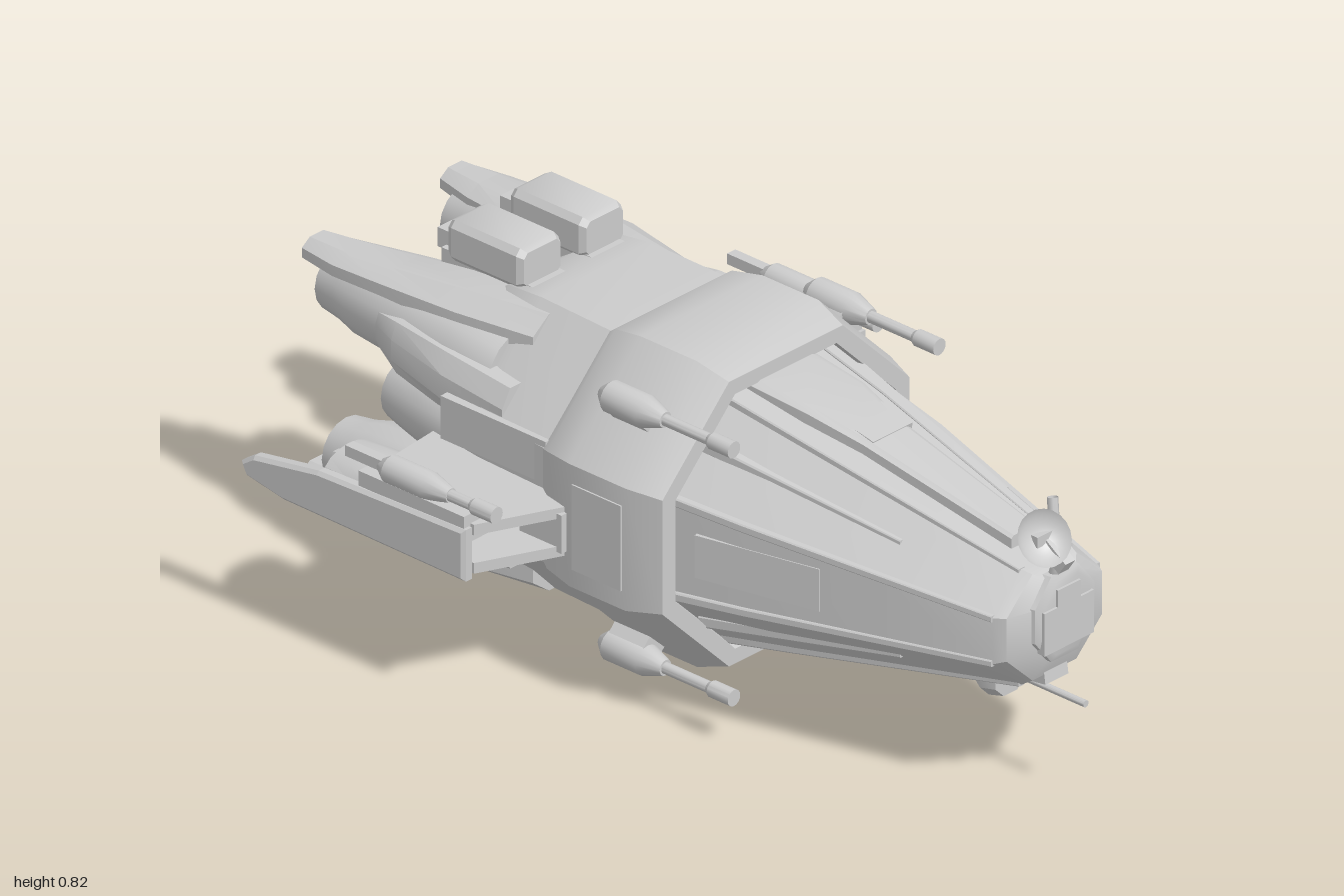
import * as THREE from 'three';
import { toCreasedNormals } from 'three/addons/utils/BufferGeometryUtils.js';

const mat = new THREE.MeshStandardMaterial({ color: 0xcccccc, side: THREE.DoubleSide });
const OCT = [[1, -0.46], [1, 0.46], [0.4, 1], [-0.4, 1], [-1, 0.46], [-1, -0.46], [-0.4, -1], [0.4, -1]];
const ROUND = Array.from({ length: 16 }, (_, i) => [Math.cos(i * Math.PI / 8), Math.sin(i * Math.PI / 8)]);
const RECT = [[1, -0.8], [1, 0.8], [0.7, 1], [-0.7, 1], [-1, 0.8], [-1, -0.8], [-0.7, -1], [0.7, -1]];

// Skin a ring along x; each section is [x, centreY, centreZ, halfY, halfZ]
function loft(sections, ring) {
  const n = ring.length, pos = [], idx = [];
  for (const [x, cy, cz, hy, hz] of sections)
    for (const [y, z] of ring) pos.push(x, cy + y * hy, cz + z * hz);
  for (let j = 0; j < sections.length - 1; j++)
    for (let i = 0; i < n; i++) {
      const a = j * n + i, b = j * n + (i + 1) % n;
      idx.push(a, b, b + n, a, b + n, a + n);
    }
  const e = (sections.length - 1) * n;
  for (let i = 1; i < n - 1; i++) idx.push(0, i + 1, i, e, e + i, e + i + 1);
  const g = new THREE.BufferGeometry();
  g.setAttribute('position', new THREE.Float32BufferAttribute(pos, 3));
  g.setIndex(idx);
  return toCreasedNormals(g, 0.5);
}

// Flat outline extruded by a depth
function plate(points, depth, bevel = 0) {
  const shape = new THREE.Shape(points.map(p => new THREE.Vector2(p[0], p[1])));
  return new THREE.ExtrudeGeometry(shape, {
    depth, bevelEnabled: bevel > 0, bevelSize: bevel, bevelThickness: bevel, bevelSegments: 1 });
}

export function createModel() {
  const ship = new THREE.Group();
  ship.name = 'spaceship';
  const add = (name, geo, x = 0, y = 0, z = 0) => {
    const m = new THREE.Mesh(geo, mat);
    m.name = name;
    m.position.set(x, y, z);
    ship.add(m);
    return m;
  };
  const box = (name, w, h, d, x, y, z) => add(name, new THREE.BoxGeometry(w, h, d), x, y, z);

  // Barrelled gun: rounded housing with a thin tube pointing forward
  const gun = (name, x0, x1, tip, y, z, r) => {
    const l = x1 - x0;
    add(name + 'Housing', loft([[x0, y, z, r * 0.4, r * 0.4], [x0 + l * 0.15, y, z, r, r],
      [x0 + l * 0.7, y, z, r, r], [x1, y, z, r * 0.5, r * 0.5]], ROUND));
    add(name + 'Barrel', loft([[x1 - 0.03, y, z, 0.013, 0.013], [tip - 0.07, y, z, 0.013, 0.013],
      [tip - 0.06, y, z, 0.019, 0.019], [tip, y, z, 0.019, 0.019]], ROUND));
  };

  // Main hull
  add('rearHull', loft([[-0.66, 0.42, 0, 0.18, 0.17], [-0.57, 0.415, 0, 0.28, 0.29], [-0.5, 0.415, 0, 0.325, 0.345],
    [-0.4, 0.415, 0, 0.335, 0.36], [-0.16, 0.41, 0, 0.335, 0.37]], OCT));

  // Collar with a hollow front rim
  add('collar', loft([[-0.22, 0.41, 0, 0.32, 0.36], [-0.18, 0.415, 0, 0.345, 0.385], [-0.1, 0.415, 0, 0.36, 0.402],
    [0.06, 0.415, 0, 0.36, 0.402], [0.14, 0.415, 0, 0.335, 0.375], [0.14, 0.415, 0, 0.3, 0.335],
    [0.1, 0.415, 0, 0.29, 0.325]], OCT));

  // Tapered nose with low corner ribs
  const nose = [[0.09, 0.415, 0, 0.297, 0.337], [0.3, 0.415, 0, 0.257, 0.302], [0.6, 0.41, 0, 0.197, 0.232],
    [0.88, 0.405, 0, 0.141, 0.166]];
  add('nose', loft([...nose.map(([x, y, z, h, w]) => [x, y, z, h - 0.005, w - 0.005]),
    [0.905, 0.41, 0, 0.125, 0.145], [0.93, 0.43, 0, 0.09, 0.085]], OCT));
  OCT.forEach(([y, z]) => add('noseRib', loft(nose.map(([x, cy, , hy, hz]) =>
    [x, cy + y * (hy - 0.01), z * (hz - 0.01), 0.011 - x * 0.004, 0.015 - x * 0.006]), RECT)));
  add('noseSpine', loft([[0.12, 0.69, 0, 0.03, 0.1], [0.28, 0.675, 0, 0.03, 0.09], [0.42, 0.645, 0, 0.025, 0.065],
    [0.82, 0.563, 0, 0.02, 0.04]], RECT));
  box('noseHatch', 0.09, 0.02, 0.12, 0.39, 0.668, -0.01).rotation.z = -0.2;
  add('noseCap', loft([[0.88, 0.43, 0, 0.1, 0.11], [0.935, 0.43, 0, 0.1, 0.09], [0.942, 0.43, 0, 0.085, 0.07]], OCT));
  box('nosePlate', 0.02, 0.1, 0.15, 0.938, 0.41, 0);
  box('nosePlateTop', 0.02, 0.14, 0.07, 0.938, 0.43, 0);

  // Sensor dish on a bent stalk
  const stalk = new THREE.CatmullRomCurve3([[0.91, 0.5, 0.02], [0.93, 0.55, 0.02], [0.915, 0.62, 0.01],
    [0.9, 0.69, 0]].map(p => new THREE.Vector3(...p)));
  add('dishStalk', new THREE.TubeGeometry(stalk, 12, 0.012, 8));
  const bowl = new THREE.SphereGeometry(0.08, 20, 6, 0, Math.PI * 2, 0, 0.9).translate(0, -0.08, 0);
  add('dish', bowl, 0.918, 0.618, 0.062).quaternion.setFromUnitVectors(
    new THREE.Vector3(0, 1, 0), new THREE.Vector3(-0.8, -0.55, -0.24).normalize());
  box('dishArm', 0.02, 0.025, 0.08, 0.918, 0.62, 0.035);
  box('dishTip', 0.07, 0.035, 0.03, 0.945, 0.585, 0.035).rotation.z = -0.6;

  // Chin gun
  add('chinTurret', loft([[0.71, 0.23, 0, 0.035, 0.04], [0.74, 0.22, 0, 0.045, 0.05], [0.78, 0.225, 0, 0.04, 0.045]], OCT));
  add('chinBarrel', loft([[0.76, 0.237, 0, 0.008, 0.008], [0.995, 0.237, 0, 0.008, 0.008]], ROUND));
  box('chinMount', 0.22, 0.05, 0.07, 0.8, 0.275, 0).rotation.z = 0.14;

  // Belly fin
  add('bellyFin', plate([[-0.57, 0.03], [-0.54, 0.003], [-0.42, 0.01], [-0.23, 0.06], [-0.22, 0.1], [-0.52, 0.12]], 0.056), 0, 0, -0.028);

  for (const s of [-1, 1]) {
    // Collar turrets above and below, turned to the sloping faces
    for (const [y, d] of [[0.697, 1], [0.113, -1]]) {
      gun('collarGun', -0.09, 0.09, 0.285, y, s * 0.312, 0.036);
      box('collarGunMount', 0.1, 0.04, 0.06, -0.01, y - d * 0.018, s * 0.298).rotation.x = d * s * 0.75;
    }

    // Side panels on collar, hull and nose
    box('collarPanel', 0.14, 0.2, 0.012, -0.02, 0.415, s * 0.4);
    box('hullSidePanel', 0.3, 0.1, 0.03, -0.35, 0.51, s * 0.352);
    box('noseSidePanel', 0.3, 0.1, 0.012, 0.33, 0.415, s * 0.286).rotation.y = s * 0.225;
    for (const d of [-1, 1])
      add('noseStrip', loft([[0.12, 0.415 + d * 0.208, s * 0.23, 0.014, 0.016],
        [0.62, 0.41 + d * 0.13, s * 0.155, 0.008, 0.01]], RECT));

    // Wing: two skins with an open leading slot
    const outline = [[-0.1, s * 0.36], [-0.2, s * 0.585], [-0.52, s * 0.585], [-0.55, s * 0.3]];
    for (const y of [0.45, 0.36]) add('wingSkin', plate(outline, 0.025).rotateX(Math.PI / 2), 0, y, 0);
    box('wingCore', 0.26, 0.08, 0.24, -0.4, 0.393, s * 0.47);
    box('wingRootSpar', 0.12, 0.09, 0.03, -0.17, 0.393, s * 0.4);
    add('wingTip', plate([[-0.83, 0.375], [-0.8, 0.395], [-0.62, 0.425], [-0.21, 0.437], [-0.21, 0.332],
      [-0.72, 0.337], [-0.82, 0.355]], 0.018, 0.008), 0, 0, s * 0.598 - 0.009);
    box('wingTipRail', 0.3, 0.035, 0.05, -0.36, 0.455, s * 0.58);
    gun('wingGun', -0.47, -0.27, -0.14, 0.492, s * 0.58, 0.032);
    box('wingGunTail', 0.12, 0.025, 0.025, -0.5, 0.497, s * 0.58);

    // Flattened engine pod blended into the wing
    const podZ = s * 0.488;
    add('wingEngine', loft([[-0.57, 0.395, podZ, 0.035, 0.06], [-0.64, 0.395, podZ, 0.038, 0.066],
      [-0.648, 0.395, podZ, 0.047, 0.078], [-0.59, 0.395, podZ, 0.053, 0.082], [-0.52, 0.395, podZ, 0.055, 0.088],
      [-0.3, 0.395, podZ, 0.05, 0.085]], ROUND));

    // Middle engine on the hull tail
    const midZ = s * 0.235;
    add('middleEngine', loft([[-0.6, 0.445, midZ, 0.045, 0.045], [-0.725, 0.445, midZ, 0.056, 0.056],
      [-0.73, 0.445, midZ, 0.068, 0.068], [-0.69, 0.445, midZ, 0.078, 0.078], [-0.62, 0.445, midZ, 0.092, 0.095],
      [-0.52, 0.445, midZ, 0.1, 0.11], [-0.42, 0.445, midZ, 0.1, 0.11]], ROUND));

    // Main engines with hollow nozzles
    for (const [y, d, x0] of [[0.605, 1, -0.95], [0.21, -1, -0.93]]) {
      const z = s * 0.19;
      add('mainEngine', loft([[x0 + 0.1, y, z, 0.045, 0.045], [x0, y, z, 0.06, 0.062], [x0 - 0.005, y, z, 0.072, 0.074],
        [x0 + 0.05, y, z, 0.08, 0.082], [x0 + 0.1, y, z, 0.094, 0.096], [x0 + 0.25, y - d * 0.005, z, 0.101, 0.11],
        [-0.55, y - d * 0.005, z, 0.105, 0.125], [-0.42, y - d * 0.015, z, 0.1, 0.12]], ROUND));
      // Armour shell that overhangs the engine
      add(d > 0 ? 'upperEngineShell' : 'lowerEngineShell', loft([[-1, y + d * 0.066, z + s * 0.02, 0.028, 0.045],
        [-0.9, y + d * 0.066, z + s * 0.015, 0.032, 0.065], [-0.76, y + d * 0.074, z + s * 0.005, 0.034, 0.08],
        [-0.55, y + d * 0.075, z - s * 0.015, 0.05, 0.095], [-0.36, y + d * 0.068, z - s * 0.045, 0.06, 0.09]], OCT));
      // Cowl wrapping the outer flank
      const tail = d > 0 ? -0.75 : -0.88;
      add('engineCowl', loft([[tail, y - d * 0.01, s * 0.28, 0.04, 0.018], [-0.68, y - d * 0.02, s * 0.295, 0.06, 0.03],
        [-0.52, y - d * 0.04, s * 0.3, 0.07, 0.045], [-0.34, y - d * 0.055, s * 0.305, 0.07, 0.045]], OCT));
    }

    // Dorsal equipment boxes with tail brackets
    add('dorsalBox', loft([[-0.68, 0.78, s * 0.095, 0.04, 0.055], [-0.665, 0.78, s * 0.095, 0.048, 0.064],
      [-0.48, 0.78, s * 0.095, 0.048, 0.064], [-0.465, 0.78, s * 0.095, 0.04, 0.055]], RECT));
    box('dorsalBracket', 0.09, 0.045, 0.06, -0.69, 0.755, s * 0.095);
    box('dorsalRail', 0.36, 0.05, 0.1, -0.53, 0.72, s * 0.09);
  }
  return ship;
}
